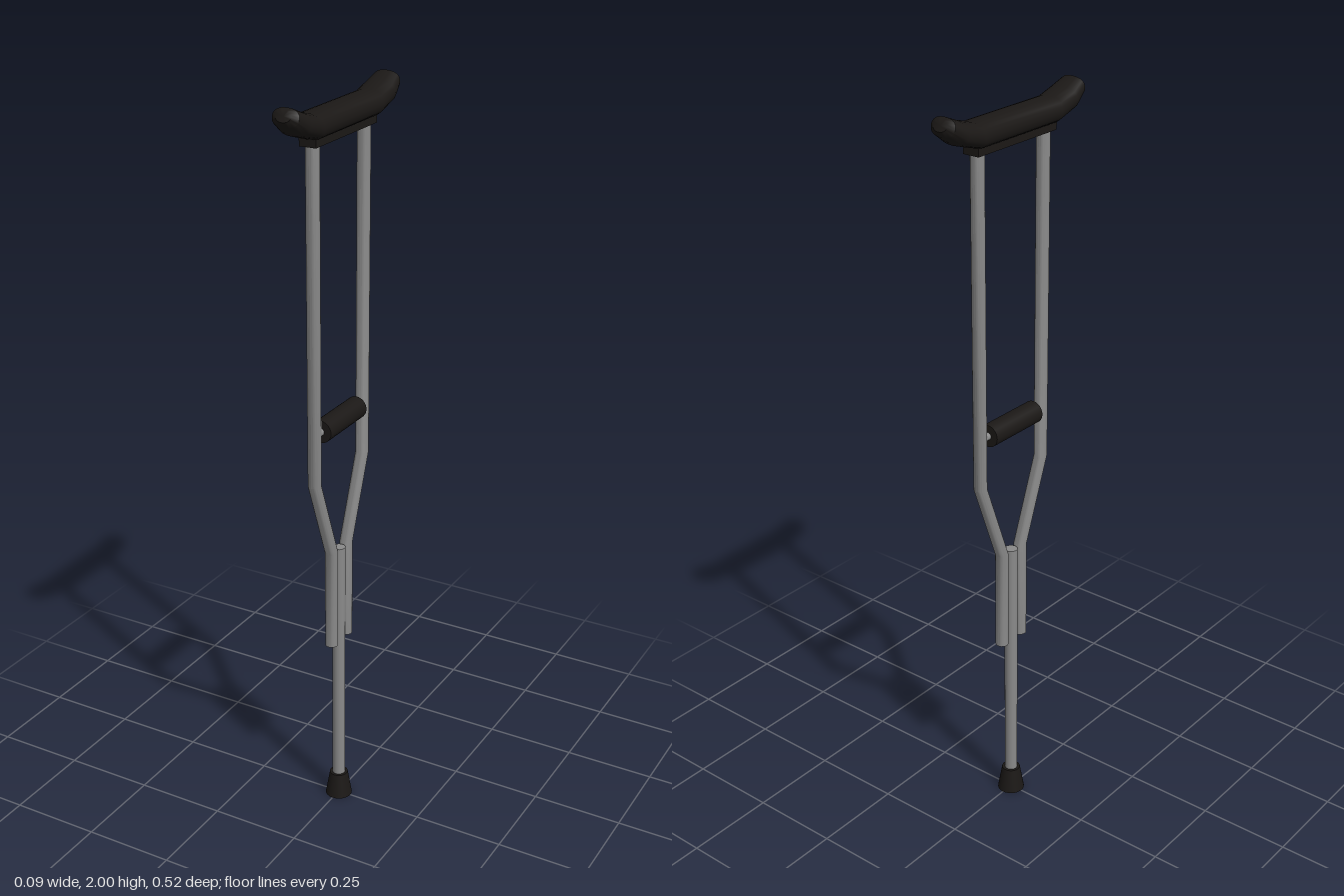
import * as THREE from 'three';
import { toCreasedNormals } from 'three/addons/utils/BufferGeometryUtils.js';

const metal = new THREE.MeshStandardMaterial({ color: 0x8a8a8a });
const rubber = new THREE.MeshStandardMaterial({ color: 0x1b1816 });
const TUBE = 0.0175;

function add(parent, name, geometry, material, x = 0, y = 0, z = 0) {
  const mesh = new THREE.Mesh(geometry, material);
  mesh.name = name;
  mesh.position.set(x, y, z);
  parent.add(mesh);
  return mesh;
}

// Bent side tube: a cylinder whose rows are moved onto the [y, z] path
function railGeometry(side) {
  const path = [[0.505, 0.039], [0.785, 0.039], [1.015, 0.125], [1.9, 0.125]];
  const geo = new THREE.CylinderGeometry(TUBE, TUBE, 3, 20, 3);
  const p = geo.attributes.position;
  for (let i = 0; i < p.count; i++) {
    const [y, z] = path[Math.round(p.getY(i) + 1.5)];
    p.setY(i, y);
    p.setZ(i, p.getZ(i) + side * z);
  }
  return toCreasedNormals(geo, 0.6);
}

// Underarm pad: rounded sections lofted along z, curling up at both ends
function padGeometry() {
  // [top z, top y, bottom z, bottom y, half width]
  const half = [
    [0.147, 1.97, 0.14, 1.906, 0.045],
    [0.195, 1.983, 0.212, 1.928, 0.045],
    [0.237, 2.0, 0.25, 1.955, 0.036],
    [0.246, 1.996, 0.26, 1.97, 0.02],
  ];
  const flip = ([tz, ty, bz, by, w]) => [-tz, ty, -bz, by, w];
  const stations = [...half.map(flip).reverse(), ...half];
  const N = 20;
  const pos = [];
  const index = [];
  const soft = (v) => Math.sign(v) * Math.abs(v) ** 0.85;
  for (const [tz, ty, bz, by, w] of stations) {
    for (let j = 0; j < N; j++) {
      const a = (j / N) * Math.PI * 2;
      const t = (1 + soft(Math.sin(a))) / 2;
      pos.push(w * soft(Math.cos(a)), by + (ty - by) * t, bz + (tz - bz) * t);
    }
  }
  const last = (stations.length - 1) * N;
  const centre = pos.length / 3;
  for (const [tz, ty, bz, by] of [stations[0], stations[stations.length - 1]]) {
    pos.push(0, (ty + by) / 2, (tz + bz) / 2);
  }
  for (let j = 0; j < N; j++) {
    const k = (j + 1) % N;
    for (let r = 0; r < last; r += N) {
      index.push(r + j, r + k, r + N + k, r + j, r + N + k, r + N + j);
    }
    index.push(centre, k, j, centre + 1, last + j, last + k);
  }
  const geo = new THREE.BufferGeometry();
  geo.setAttribute('position', new THREE.Float32BufferAttribute(pos, 3));
  geo.setIndex(index);
  return toCreasedNormals(geo, 0.7);
}

export function createModel() {
  const model = new THREE.Group();
  model.name = 'crutch';

  // Side rails, bending in to meet the central post
  for (const side of [1, -1]) {
    add(model, side > 0 ? 'frontRail' : 'backRail', railGeometry(side), metal);
  }

  // Central post and its flared rubber foot
  add(model, 'post', new THREE.CylinderGeometry(TUBE, TUBE, 0.745, 20), metal, 0, 0.4125, 0);
  add(model, 'foot', new THREE.CylinderGeometry(0.025, 0.037, 0.07, 24), rubber, 0, 0.035, 0);

  // Hand grip on a thin rod between the rails
  const grip = new THREE.Group();
  grip.name = 'handGrip';
  grip.position.y = 1.153;
  grip.rotation.x = Math.PI / 2;
  add(grip, 'gripRod', new THREE.CylinderGeometry(0.01, 0.01, 0.24, 16), metal);
  add(grip, 'gripSleeve', new THREE.CylinderGeometry(0.03, 0.03, 0.186, 24), rubber);
  model.add(grip);

  // Underarm pad on its support bar
  add(model, 'padSupport', new THREE.BoxGeometry(0.046, 0.03, 0.296), rubber, 0, 1.905, 0);
  add(model, 'underarmPad', padGeometry(), rubber);

  return model;
}
